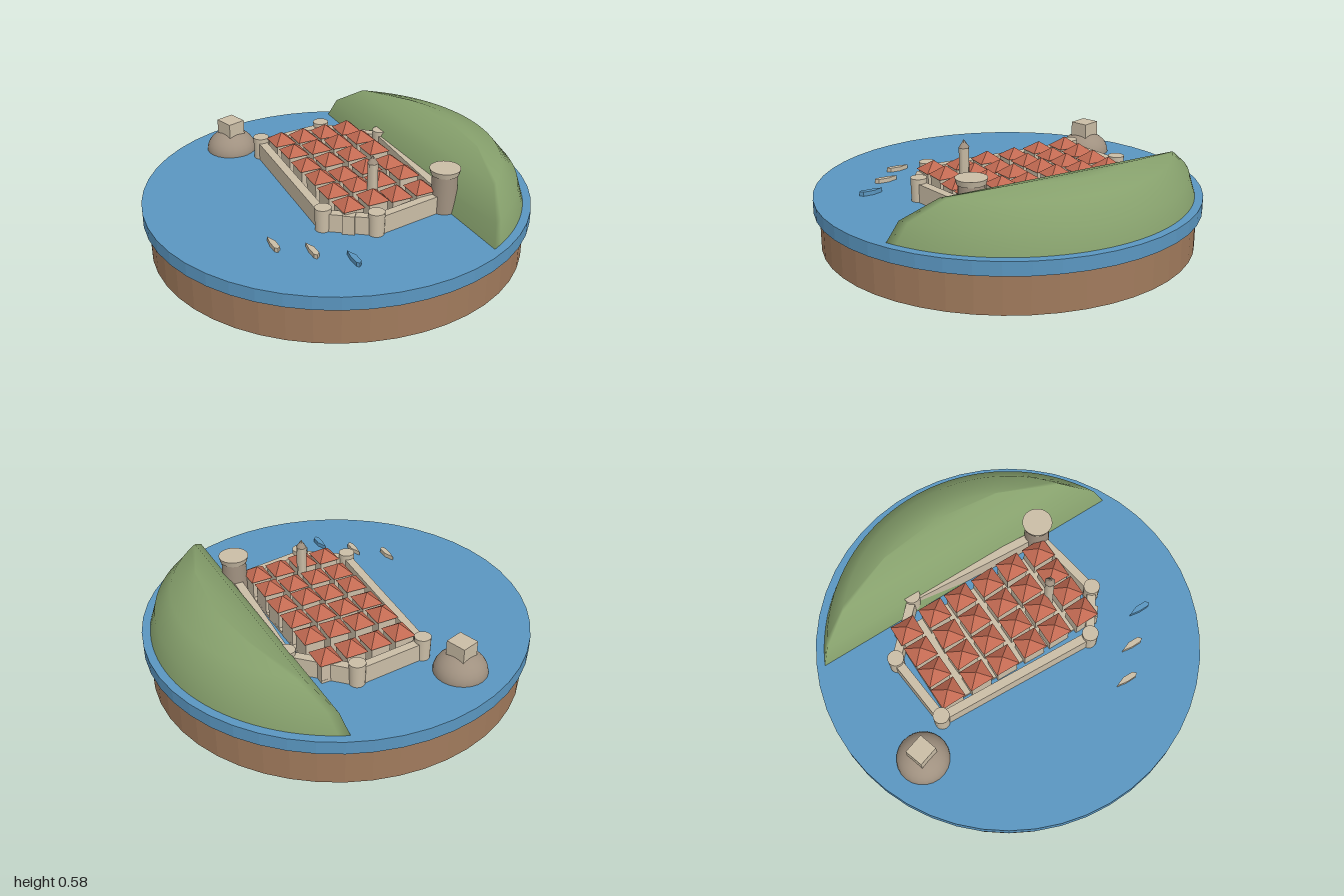
import * as THREE from 'three';

const mat = (name, color, extra = {}) => {
  const m = new THREE.MeshStandardMaterial({ color, ...extra });
  m.name = name;
  return m;
};

export function createModel() {
  const root = new THREE.Group();
  root.name = 'walledHarbourTown';
  const earth = mat('earth', 0xa07a5c, { flatShading: true });
  const sea = mat('sea', 0x5a96c0, { flatShading: true });
  const grass = mat('grass', 0x86a06c);
  const stone = mat('stone', 0xcabda6);
  const rock = mat('weatheredStone', 0xa09180);
  const tile = mat('roofTile', 0xc26a52, { flatShading: true });
  const SEA = 0.27;

  const add = (parent, name, geo, material, x = 0, y = 0, z = 0, ry = 0) => {
    const m = new THREE.Mesh(geo, material);
    m.name = name;
    m.position.set(x, y, z);
    m.rotation.y = ry;
    parent.add(m);
    return m;
  };
  let seed = 7;
  const rand = () => (seed = (seed * 16807) % 2147483647) / 2147483647;

  // Round base and sea disc
  add(root, 'earthBase', new THREE.CylinderGeometry(0.97, 0.97, 0.2, 48), earth, 0, 0.1, 0);
  add(root, 'seaDisc', new THREE.CylinderGeometry(1, 1, 0.07, 48), sea, 0, 0.235, 0);

  // Hill: circle segments stepped inward as they rise
  const rings = [[0, SEA], [0.032, 0.375], [0.12, 0.48], [0.24, 0.52]];
  const n = 41, facing = Math.atan2(-0.94, 0.335), pos = [], idx = [];
  rings.forEach(([inset, y]) => {
    const r = 0.957 - inset, half = Math.acos((0.388 + inset) / r);
    for (let i = 0; i < n; i++) {
      const a = facing + half * (2 * i / (n - 1) - 1);
      pos.push(r * Math.cos(a), y, r * Math.sin(a));
    }
  });
  for (let k = 0; k < rings.length - 1; k++) {
    for (let i = 0; i < n; i++) {
      const a = k * n + i, b = k * n + (i + 1) % n;
      idx.push(a, a + n, b, b, a + n, b + n);
    }
  }
  const top = (rings.length - 1) * n;
  pos.push(0.225, 0.52, -0.635);
  for (let i = 0; i < n; i++) idx.push(top + n, top + (i + 1) % n, top + i);
  const hill = new THREE.BufferGeometry();
  hill.setAttribute('position', new THREE.Float32BufferAttribute(pos, 3));
  hill.setIndex(idx);
  hill.computeVertexNormals();
  add(root, 'hill', hill, grass);

  // City walls with a round tower at each corner
  const corners = [[-0.56, 0.01], [-0.465, -0.36], [-0.15, -0.51], [0.535, -0.215], [0.455, 0.2], [0.24, 0.345]];
  const walls = new THREE.Group();
  walls.name = 'cityWalls';
  root.add(walls);
  corners.forEach(([x, z], i) => {
    const [x2, z2] = corners[(i + 1) % corners.length];
    add(walls, 'wall', new THREE.BoxGeometry(Math.hypot(x2 - x, z2 - z), 0.095, 0.045), stone,
      (x + x2) / 2, SEA + 0.0475, (z + z2) / 2, -Math.atan2(z2 - z, x2 - x));
    if (i !== 3) add(walls, 'wallTower', new THREE.CylinderGeometry(0.042, 0.039, 0.12, 20), stone, x, SEA + 0.06, z);
  });
  add(walls, 'harbourGate', new THREE.BoxGeometry(0.06, 0.1, 0.07), stone, 0.348, SEA + 0.05, 0.273, 0.59);

  // Great tower with a flared crown
  add(root, 'greatTower', new THREE.CylinderGeometry(0.064, 0.068, 0.2, 24), rock, 0.535, 0.37, -0.215);
  add(root, 'greatTowerCrown', new THREE.CylinderGeometry(0.078, 0.07, 0.03, 24), stone, 0.535, 0.483, -0.215);

  // Town blocks on a paved floor, turned with the walls
  const town = new THREE.Group();
  town.name = 'town';
  town.rotation.y = -Math.PI / 9;
  root.add(town);
  add(town, 'paving', new THREE.BoxGeometry(0.9, 0.015, 0.48), stone, -0.04, SEA + 0.0075, -0.09);
  const roof = new THREE.ConeGeometry(Math.SQRT1_2, 1, 4);
  roof.rotateY(Math.PI / 4);
  for (const u of [-0.432, -0.265, -0.11, 0.055, 0.205, 0.37]) {
    for (const v of [-0.28, -0.145, -0.014, 0.118]) {
      const h = 0.105 + 0.02 * rand(), rise = 0.045 + 0.01 * rand();
      const turn = (rand() - 0.5) * 0.1;
      add(town, 'house', new THREE.BoxGeometry(0.115, h, 0.1), stone, u, SEA + h / 2, v, turn);
      add(town, 'roof', roof, tile, u, SEA + h + rise / 2, v, turn).scale.set(0.132, rise, 0.118);
    }
  }

  // Bell tower
  add(root, 'bellTower', new THREE.CylinderGeometry(0.027, 0.027, 0.265, 6), stone, 0.29, SEA + 0.1325, 0.045);
  add(root, 'bellTowerSpire', new THREE.ConeGeometry(0.029, 0.042, 6), rock, 0.29, 0.556, 0.045);

  // Rocky islet with a fort
  const dome = new THREE.SphereGeometry(0.135, 24, 8, 0, Math.PI * 2, 0, Math.PI / 2);
  add(root, 'isletRock', dome, rock, -0.765, SEA, 0.05).scale.y = 0.8;
  add(root, 'isletFort', new THREE.BoxGeometry(0.108, 0.1, 0.1), stone, -0.763, 0.39, 0.05, -0.05);

  // Boats moored off the harbour
  const hull = new THREE.Shape([[-0.065, 0], [-0.01, -0.018], [0.045, -0.014], [0.06, 0.004], [0.045, 0.014], [-0.01, 0.012]]
    .map(([x, y]) => new THREE.Vector2(x, y)));
  const boat = new THREE.ExtrudeGeometry(hull, { depth: 0.022, bevelEnabled: false });
  boat.rotateX(Math.PI / 2);
  [[0.185, 0.625, stone], [0.357, 0.538, stone], [0.545, 0.455, sea]].forEach(([x, z, m]) =>
    add(root, 'boat', boat, m, x, SEA + 0.022, z, -0.3));

  return root;
}
